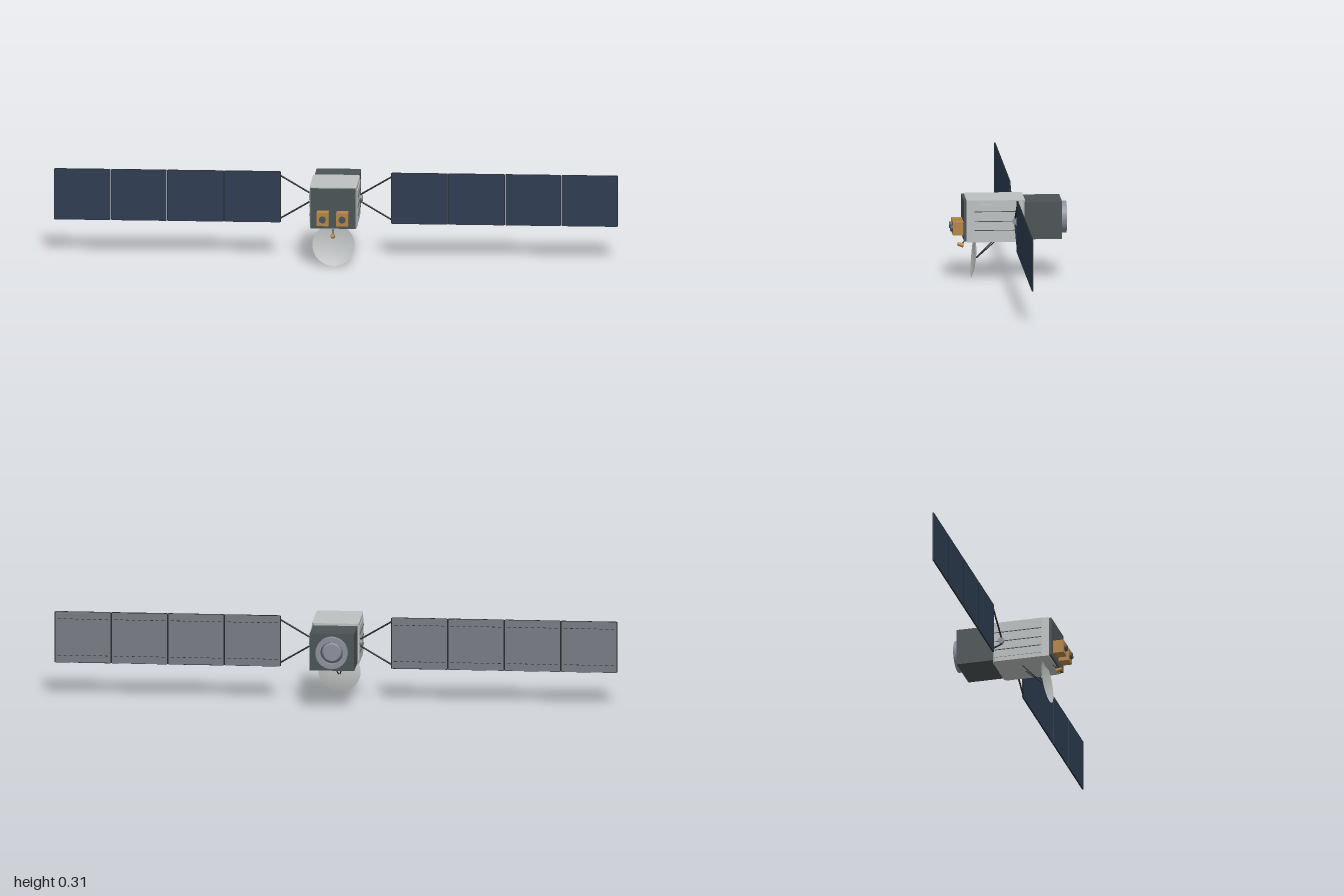
import * as THREE from 'three';

const mat = (name, color, extra = {}) => {
  const m = new THREE.MeshStandardMaterial({ color, ...extra });
  m.name = name;
  return m;
};

export function createModel() {
  const model = new THREE.Group();
  model.name = 'satellite';
  const lightGrey = mat('lightGrey', 0xbcc0c0);
  const darkGrey = mat('darkGrey', 0x4b5355);
  const navy = mat('solarNavy', 0x2d3c51);
  const backGrey = mat('panelBackGrey', 0x787b83);
  const gold = mat('gold', 0xb58545);
  const metal = mat('metal', 0x8c8f9c);
  const black = mat('black', 0x26292b);
  const dishGrey = mat('dishGrey', 0xc6c9c9, { side: THREE.DoubleSide });

  const add = (name, geometry, material, x = 0, y = 0, z = 0, parent = model) => {
    const mesh = new THREE.Mesh(geometry, material);
    mesh.name = name;
    mesh.position.set(x, y, z);
    parent.add(mesh);
    return mesh;
  };
  const box = (name, w, h, d, material, x, y, z, parent) =>
    add(name, new THREE.BoxGeometry(w, h, d), material, x, y, z, parent);
  // Round rod between two points
  const rod = (name, a, b, r0, r1, material, parent) => {
    const p = new THREE.Vector3(...a), q = new THREE.Vector3(...b);
    const dir = q.clone().sub(p);
    const mesh = add(name, new THREE.CylinderGeometry(r1, r0, dir.length(), 12), material, 0, 0, 0, parent);
    mesh.position.copy(p).add(q).multiplyScalar(0.5);
    mesh.quaternion.setFromUnitVectors(new THREE.Vector3(0, 1, 0), dir.normalize());
    return mesh;
  };
  const cy = 0.215;

  // Main body: plan outline with clipped rear corners, extruded upward
  const plan = new THREE.Shape([
    [-0.08, -0.152], [0.08, -0.152], [0.083, -0.128], [0.083, 0.047],
    [0.075, 0.055], [-0.075, 0.055], [-0.083, 0.047], [-0.083, -0.128],
  ].map(([x, y]) => new THREE.Vector2(x, y)));
  const bodyGeo = new THREE.ExtrudeGeometry(plan, { depth: 0.15, bevelEnabled: false });
  bodyGeo.rotateX(-Math.PI / 2);
  add('mainBody', bodyGeo, lightGrey, 0, 0.14, 0);
  box('frontPlate', 0.16, 0.144, 0.009, darkGrey, 0, cy, 0.1565);

  // Rear module and docking ring
  box('rearModule', 0.158, 0.134, 0.134, darkGrey, 0, cy, -0.12);
  const ringProfile = [[0.04, 0], [0.057, 0], [0.057, 0.019], [0.04, 0.019], [0.04, 0]]
    .map(([x, y]) => new THREE.Vector2(x, y));
  const ringGeo = new THREE.LatheGeometry(ringProfile, 40).toNonIndexed();
  ringGeo.computeVertexNormals();
  const ring = add('dockingRing', ringGeo, metal, 0, cy, -0.187);
  ring.rotation.x = -Math.PI / 2;
  const cap = add('ringCap', new THREE.CylinderGeometry(0.03, 0.036, 0.009, 32), metal, 0, cy, -0.19);
  cap.rotation.x = -Math.PI / 2;

  // Front cameras
  for (const s of [-1, 1]) {
    const camera = new THREE.Group();
    camera.name = s > 0 ? 'leftCamera' : 'rightCamera';
    camera.position.set(s * 0.035, 0.184, 0.16);
    model.add(camera);
    box('cameraBox', 0.042, 0.048, 0.039, gold, 0, 0, 0.0195, camera);
    const lens = add('lens', new THREE.CylinderGeometry(0.012, 0.012, 0.008, 24), darkGrey, 0, 0, 0.043, camera);
    lens.rotation.x = Math.PI / 2;
  }

  // Body side panels, ribs and the solar wings, mirrored left and right
  for (const s of [-1, 1]) {
    const side = new THREE.Group();
    side.name = s > 0 ? 'leftWing' : 'rightWing';
    model.add(side);
    box('sidePanel', 0.004, 0.12, 0.176, lightGrey, s * 0.0835, cy, 0.04, side);
    for (const y of [0.25, cy, 0.183])
      box('sideRib', 0.002, 0.0025, 0.17, darkGrey, s * 0.0862, y, 0.04, side);

    // Hub and yoke
    const hub = add('wingHub', new THREE.CylinderGeometry(0.011, 0.011, 0.014, 24), metal, s * 0.088, cy, -0.02, side);
    hub.rotation.z = Math.PI / 2;
    for (const v of [-1, 1])
      rod('yokeStrut', [s * 0.083, cy + v * 0.01, -0.02], [s * 0.198, cy + v * 0.078, -0.02], 0.003, 0.003, black, side);

    // Four hinged panels
    for (let i = 0; i < 4; i++) {
      const x = s * (0.196 + 0.201 * (i + 0.5));
      box('solarCells', 0.196, 0.182, 0.002, navy, x, cy, -0.0185, side);
      box('panelBack', 0.196, 0.183, 0.003, backGrey, x, cy, -0.021, side);
      for (const v of [-1, 1]) {
        box('panelEdge', 0.196, 0.002, 0.005, black, x, cy + v * 0.0915, -0.02, side);
        for (let k = 0; k < 9; k++)
          box('backDash', 0.011, 0.0018, 0.001, black, x + (k - 4) * 0.021, cy + v * 0.066, -0.0228, side);
      }
    }
    for (let i = 0; i < 5; i++)
      box('panelHinge', 0.004, 0.182, 0.004, black, s * (0.197 + 0.2005 * i), cy, -0.02, side);
  }

  // Antenna dish, opening forward and slightly up
  const dishPoints = [];
  for (let i = 0; i <= 8; i++) {
    const r = 0.075 * i / 8;
    dishPoints.push(new THREE.Vector2(r, 0.011 * (r / 0.075) ** 2));
  }
  const dish = add('dish', new THREE.LatheGeometry(dishPoints, 48), dishGrey, 0, 0.0748, 0.114);
  dish.rotation.x = Math.PI / 2 - 0.09;
  for (const s of [-1, 1])
    rod('dishStrut', [s * 0.025, 0.142, 0.038], [s * 0.003, 0.07, 0.113], 0.002, 0.002, black);

  // Antenna feed
  rod('feedArm', [0, 0.143, 0.143], [0, 0.119, 0.167], 0.002, 0.002, black);
  rod('feedHorn', [0, 0.121, 0.179], [0, 0.115, 0.158], 0.006, 0.0085, gold);

  return model;
}
